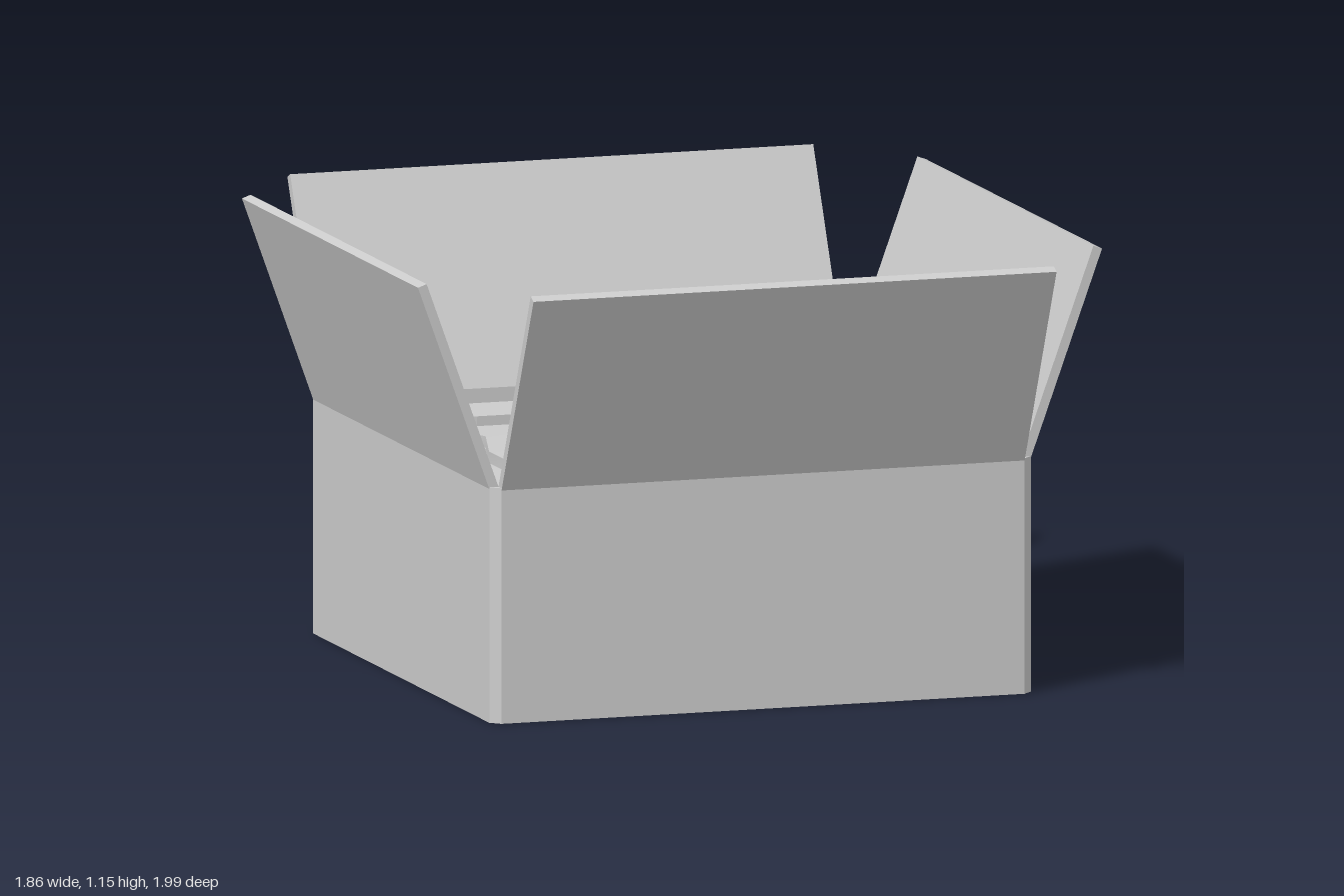
import * as THREE from 'three';

const mat = new THREE.MeshStandardMaterial({ color: 0xcccccc, flatShading: true });
const smoothMat = new THREE.MeshStandardMaterial({ color: 0xcccccc });
const INNER = 0.71, OUTER = 0.735, RIM = 0.615, T = OUTER - INNER;

function add(parent, name, geometry, material = mat) {
  const mesh = new THREE.Mesh(geometry, material);
  mesh.name = name;
  parent.add(mesh);
  return mesh;
}

// Extrudes a plan-view shape upwards, from y = 0
function slab(shape, height) {
  return new THREE.ExtrudeGeometry(shape, { depth: height, bevelEnabled: false, curveSegments: 3 }).rotateX(-Math.PI / 2);
}

function roundedRect(w, d, r) {
  const s = new THREE.Shape(), x = w / 2, y = d / 2;
  s.moveTo(-x + r, -y);
  s.lineTo(x - r, -y).quadraticCurveTo(x, -y, x, -y + r);
  s.lineTo(x, y - r).quadraticCurveTo(x, y, x - r, y);
  s.lineTo(-x + r, y).quadraticCurveTo(-x, y, -x, y - r);
  s.lineTo(-x, -y + r).quadraticCurveTo(-x, -y, -x + r, -y);
  return s;
}

// Zigzag strip: x and z are the left corner of its front end
const LENGTH = 0.755, WIDTH = 0.19, SEGMENTS = 4;
const ZIGZAG = [0, -0.027, 0.027, -0.025, 0];
function stripGeometry(sign) {
  const g = new THREE.BoxGeometry(WIDTH, 0.03, LENGTH, 1, 1, SEGMENTS);
  const p = g.attributes.position;
  for (let i = 0; i < p.count; i++) {
    const u = 0.5 - p.getZ(i) / LENGTH;
    p.setX(i, p.getX(i) + sign * ZIGZAG[Math.round(u * SEGMENTS)]);
    p.setY(i, p.getY(i) + 0.02 * Math.sin(u * Math.PI));
  }
  g.computeVertexNormals();
  return g;
}

export function createModel() {
  const model = new THREE.Group();
  model.name = 'openBox';

  // Walls: a ring with chamfered corners
  const ring = new THREE.Shape([
    [INNER, -OUTER], [OUTER, -INNER], [OUTER, INNER], [INNER, OUTER],
    [-INNER, OUTER], [-OUTER, INNER], [-OUTER, -INNER], [-INNER, -OUTER],
  ].map(([x, y]) => new THREE.Vector2(x, y)));
  ring.holes.push(new THREE.Path([[-1, -1], [-1, 1], [1, 1], [1, -1]]
    .map(([x, y]) => new THREE.Vector2(x * INNER, y * INNER))));
  add(model, 'walls', slab(ring, RIM));

  // Floor, set slightly above the lower edge of the walls
  add(model, 'floor', new THREE.BoxGeometry(2 * INNER, T, 2 * INNER)).position.y = 0.015 + T / 2;

  // Four open flaps, hinged at the rim and leaning outwards
  const flaps = [
    ['frontFlap', 0, 0.26], ['leftFlap', 1, 0.195],
    ['backFlap', 2, 0.26], ['rightFlap', 3, 0.195],
  ];
  for (const [name, turn, reach] of flaps) {
    const rise = 1.155 - RIM, len = Math.hypot(reach, rise);
    const g = new THREE.BoxGeometry(2 * INNER, len, T)
      .translate(0, len / 2, T / 2)
      .rotateX(Math.atan2(reach, rise))
      .translate(0, RIM, INNER)
      .rotateY(turn * Math.PI / 2);
    add(model, name, g);
  }

  // Filling that carries the strips
  add(model, 'filling', slab(roundedRect(1.38, 1.38, 0.04), 0.39)).position.y = 0.04;

  // Layers of zigzag strips: height, bend direction, then [x, z] of each
  const strips = new THREE.Group();
  strips.name = 'strips';
  model.add(strips);
  const layers = [
    [0.445, 1, [[-0.56, 0.31], [-0.5, 0.56], [0.23, 0.56], [0.335, 0.41]]],
    [0.475, -1, [[-0.35, 0.185], [-0.12, 0.185], [0.11, 0.185]]],
    [0.495, -1, [[-0.58, 0.37], [0.32, 0.47]]],
    [0.515, -1, [[-0.36, 0.6], [-0.12, 0.6], [0.105, 0.6]]],
    [0.555, 1, [[-0.48, 0.22], [-0.25, 0.22], [0, 0.22], [0.235, 0.22]]],
  ];
  for (const [y, sign, spots] of layers) {
    for (const [x, z] of spots) {
      add(strips, 'strip', stripGeometry(sign), smoothMat)
        .position.set(x + WIDTH / 2, y, z - LENGTH / 2);
    }
  }

  // Rounded bar lying across the top strips
  add(model, 'crossBar', slab(roundedRect(0.89, 0.19, 0.035), 0.03)).position.set(-0.005, 0.58, -0.435);

  return model;
}
